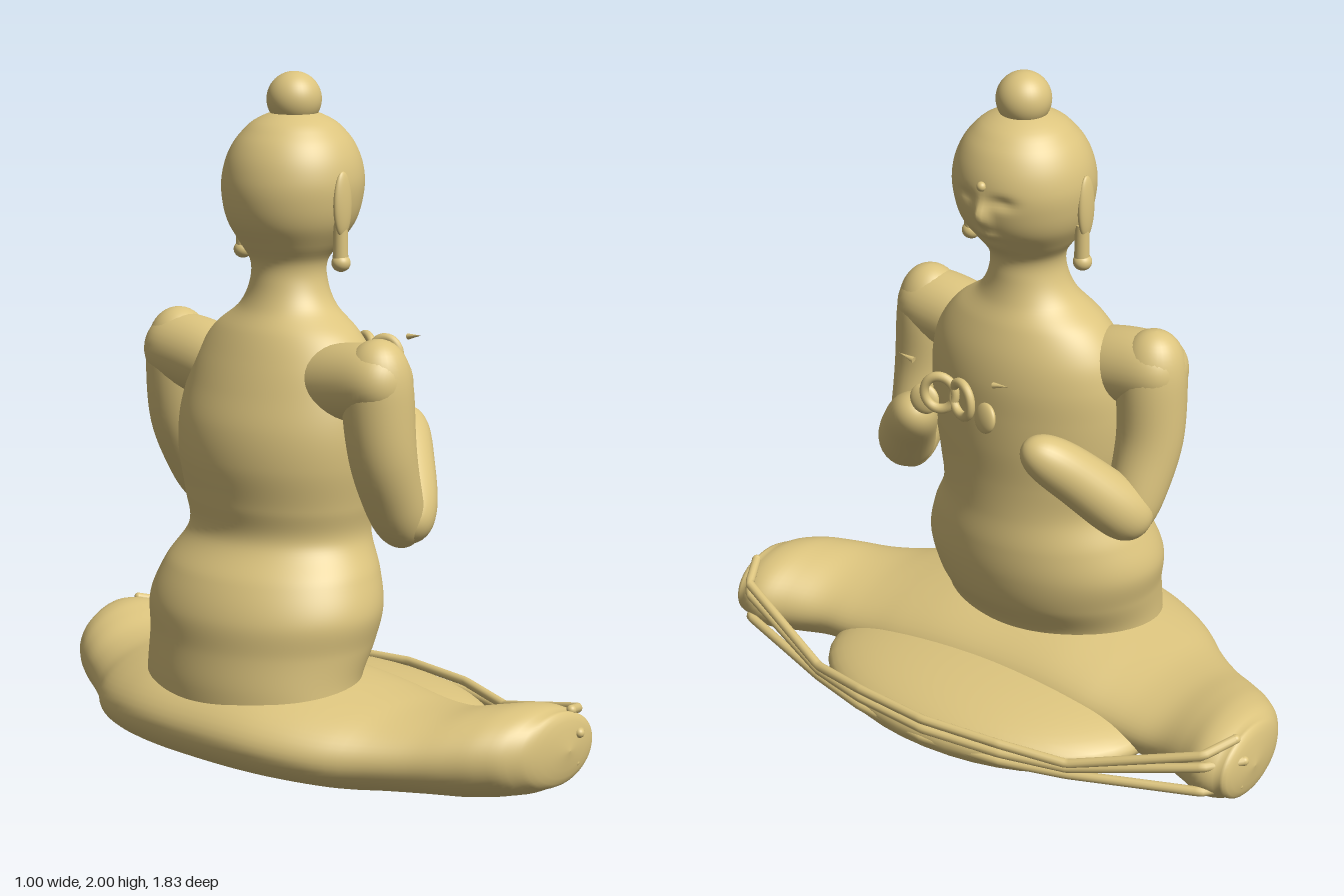
import * as THREE from 'three';

const gold = new THREE.MeshStandardMaterial({ color: 0xdcc47e, side: THREE.DoubleSide });

function add(parent, name, geometry, pos = [0, 0, 0], scale = [1, 1, 1], rot = [0, 0, 0]) {
  const m = new THREE.Mesh(geometry, gold);
  m.name = name;
  m.position.set(...pos);
  m.scale.set(...scale);
  m.rotation.set(...rot);
  parent.add(m);
  return m;
}

// Skin of closed rings; ringAt(s, a) gives the point at 0..1 along and angle a around
function skin(ringAt, rows, cols) {
  const pos = [], idx = [];
  for (let i = 0; i <= rows; i++)
    for (let j = 0; j < cols; j++)
      pos.push(...ringAt(i / rows, (j / cols) * Math.PI * 2).toArray());
  for (let i = 0; i < rows; i++)
    for (let j = 0; j < cols; j++) {
      const a = i * cols + j, b = i * cols + ((j + 1) % cols);
      idx.push(a, b, a + cols, b, b + cols, a + cols);
    }
  const g = new THREE.BufferGeometry();
  g.setAttribute('position', new THREE.Float32BufferAttribute(pos, 3));
  g.setIndex(idx);
  g.computeVertexNormals();
  return g;
}

// Smooth interpolation through rows of [key, ...values]
function spline(table) {
  const n = table[0].length - 1;
  const f = new THREE.CubicInterpolant(table.map(r => r[0]), table.flatMap(r => r.slice(1)), n, new Float32Array(n));
  return t => f.evaluate(t);
}

// Rounded limb along a curve, with a radius per point
function limb(points, radii) {
  const curve = new THREE.CatmullRomCurve3(points.map(p => new THREE.Vector3(...p)));
  const radius = spline(radii.map((r, i) => [i / (radii.length - 1), r]));
  const side = new THREE.Vector3(1, 0, 0.3).normalize();
  return skin((s, a) => {
    const t = (1 - Math.cos(Math.PI * s)) / 2;
    const T = curve.getTangent(t);
    const U = new THREE.Vector3().crossVectors(T, side).normalize();
    const V = new THREE.Vector3().crossVectors(T, U);
    const r = radius(t)[0] * Math.sqrt(Math.max(0, 1 - Math.abs(2 * t - 1) ** 5)) + 1e-4;
    return curve.getPoint(t).addScaledVector(U, r * Math.cos(a)).addScaledVector(V, r * Math.sin(a));
  }, 40, 32);
}

// Soft bumps and hollows of the face: y, z, spread in y, spread in z, depth
const face = [
  [1.64, 0, 0.035, 0.02, 0.03], [1.575, 0, 0.012, 0.035, 0.012], [1.53, 0, 0.025, 0.04, 0.012],
  [1.685, 0.06, 0.018, 0.035, -0.012], [1.685, -0.06, 0.018, 0.035, -0.012],
];

export function createModel() {
  const model = new THREE.Group();
  model.name = 'seatedFigure';
  const ball = new THREE.SphereGeometry(1, 40, 28);

  // Torso, neck and head: height, back x, front x, half width
  const bodyAt = spline([
    [0.12, -0.44, 0.05, 0.36], [0.3, -0.45, 0.075, 0.345], [0.4, -0.44, 0.13, 0.355], [0.5, -0.43, 0.155, 0.37],
    [0.6, -0.385, 0.16, 0.338], [0.7, -0.312, 0.152, 0.287], [0.8, -0.318, 0.152, 0.3],
    [0.92, -0.332, 0.16, 0.32], [1.02, -0.322, 0.162, 0.325], [1.12, -0.288, 0.16, 0.315],
    [1.2, -0.255, 0.145, 0.29], [1.28, -0.215, 0.115, 0.23], [1.34, -0.175, 0.085, 0.15],
    [1.41, -0.152, 0.068, 0.112], [1.47, -0.15, 0.068, 0.112], [1.52, -0.178, 0.105, 0.145],
    [1.58, -0.213, 0.153, 0.18], [1.65, -0.229, 0.176, 0.198], [1.71, -0.227, 0.18, 0.2],
    [1.78, -0.205, 0.162, 0.181], [1.83, -0.17, 0.13, 0.148], [1.87, -0.12, 0.08, 0.1],
    [1.895, -0.05, 0.01, 0.03], [1.9, -0.021, -0.019, 0.001],
  ]);
  add(model, 'body', skin((s, a) => {
    const y = 0.12 + 1.78 * s;
    const [back, front, w] = bodyAt(y);
    const p = new THREE.Vector3((back + front) / 2 + (front - back) / 2 * Math.sin(a), y, w * Math.cos(a));
    if (p.x > 0 && y > 1.45)
      for (const [fy, fz, sy, sz, d] of face)
        p.x += d * Math.exp(-(((y - fy) / sy) ** 2) - ((p.z - fz) / sz) ** 2);
    return p;
  }, 180, 112));

  // Crossed legs, lofted from knee to knee: z, back x, front x, bottom y, top y
  const half = [
    [0, -0.505, 0.2, 0.03, 0.33], [0.2, -0.49, 0.2, 0.03, 0.325], [0.33, -0.45, 0.2, 0.03, 0.305],
    [0.43, -0.395, 0.195, 0.03, 0.285], [0.52, -0.32, 0.195, 0.033, 0.27], [0.62, -0.25, 0.2, 0.035, 0.27],
    [0.72, -0.19, 0.24, 0.035, 0.288], [0.8, -0.135, 0.28, 0.045, 0.298],
    [0.86, -0.07, 0.265, 0.065, 0.285], [0.895, 0.02, 0.23, 0.1, 0.255], [0.908, 0.129, 0.131, 0.174, 0.176],
  ];
  const legsAt = spline([...half.slice(1).reverse().map(([z, ...r]) => [-z, ...r]), ...half]);
  add(model, 'crossedLegs', skin((s, a) => {
    const z = -0.908 * Math.cos(Math.PI * s);
    const [x0, x1, y0, y1] = legsAt(z);
    return new THREE.Vector3((x0 + x1) / 2 + (x1 - x0) / 2 * Math.cos(a), (y0 + y1) / 2 + (y1 - y0) / 2 * Math.sin(a), z);
  }, 90, 56));
  add(model, 'foldedShins', ball, [0.15, 0.115, 0], [0.345, 0.115, 0.55]);

  // Topknot and forehead mark
  add(model, 'topknot', ball, [-0.02, 1.922, 0], [0.078, 0.078, 0.078]);
  add(model, 'foreheadMark', ball, [0.178, 1.727, 0], [0.014, 0.014, 0.014]);

  for (const s of [1, -1]) {
    const side = new THREE.Group();
    side.name = s > 0 ? 'leftZSide' : 'rightZSide';
    model.add(side);

    // Arms bent up in front of the chest
    add(side, 'shoulder', limb([[-0.1, 1.12, 0.1 * s], [-0.1, 1.16, 0.28 * s], [-0.1, 1.185, 0.485 * s]], [0.1, 0.11, 0.105]));
    add(side, 'upperArm', limb(
      [[-0.1, 1.295, 0.395 * s], [-0.095, 1.14, 0.39 * s], [-0.08, 0.97, 0.395 * s], [-0.03, 0.83, 0.39 * s], [0.04, 0.69, 0.38 * s]],
      [0.1, 0.102, 0.096, 0.086, 0.08]));
    add(side, 'forearm', limb(
      [[-0.02, 0.72, 0.42 * s], [0.06, 0.81, 0.365 * s], [0.15, 0.92, 0.28 * s], [0.245, 1.02, 0.19 * s]],
      [0.085, 0.085, 0.078, 0.07]));

    // Long ears with pendants
    add(side, 'ear', ball, [-0.035, 1.643, 0.2 * s], [0.034, 0.092, 0.016]);
    add(side, 'earPendant', new THREE.CylinderGeometry(0.02, 0.022, 0.11, 24), [-0.032, 1.535, 0.19 * s]);
    add(side, 'earDrop', ball, [-0.032, 1.478, 0.192 * s], [0.027, 0.025, 0.027]);

    // Floating finger rings, palms and fingertips
    add(side, 'fingerRing', new THREE.TorusGeometry(0.045, 0.013, 14, 40), [0.328, 1.15, 0.038 * s], [1, 1.1, 1], [0, Math.PI / 2 + 0.35 * s, 0]);
    add(side, 'palm', ball, [0.31, 1.105, 0.105 * s], [0.017, 0.045, 0.042], [0.5 * s, 0.35 * s, 0]);
    add(side, 'fingertip', new THREE.ConeGeometry(0.009, 0.05, 10), [0.315, 1.222, 0.162 * s], [1, 1, 1], [1.4 * s, 0, 0]);
  }

  // Three cords strung from knee to knee: heights at the tip, knee, bend, curve and middle
  const reach = [[0.9, 0.18], [0.82, 0.275], [0.45, 0.4], [0.25, 0.455], [0, 0.485]];
  [[0.275, 0.25, 0.15, 0.17, 0.175], [0.215, 0.212, 0.135, 0.14, 0.143], [0.128, 0.132, 0.115, 0.113, 0.113]]
    .forEach((heights, k) => {
      const pts = reach.map(([z, x], i) => [x, heights[i], z - (i ? 0 : [0.03, 0, 0.015][k])]);
      const path = new THREE.CurvePath();
      const all = [...pts, ...pts.slice(0, -1).reverse().map(([x, y, z]) => [x, y, -z])].map(p => new THREE.Vector3(...p));
      for (let i = 1; i < all.length; i++) path.add(new THREE.LineCurve3(all[i - 1], all[i]));
      add(model, 'cord', new THREE.TubeGeometry(path, 120, 0.014, 12));
      for (const end of [all[0], all.at(-1)]) add(model, 'cordEnd', ball, end.toArray(), [0.014, 0.014, 0.014]);
    });

  return model;
}
